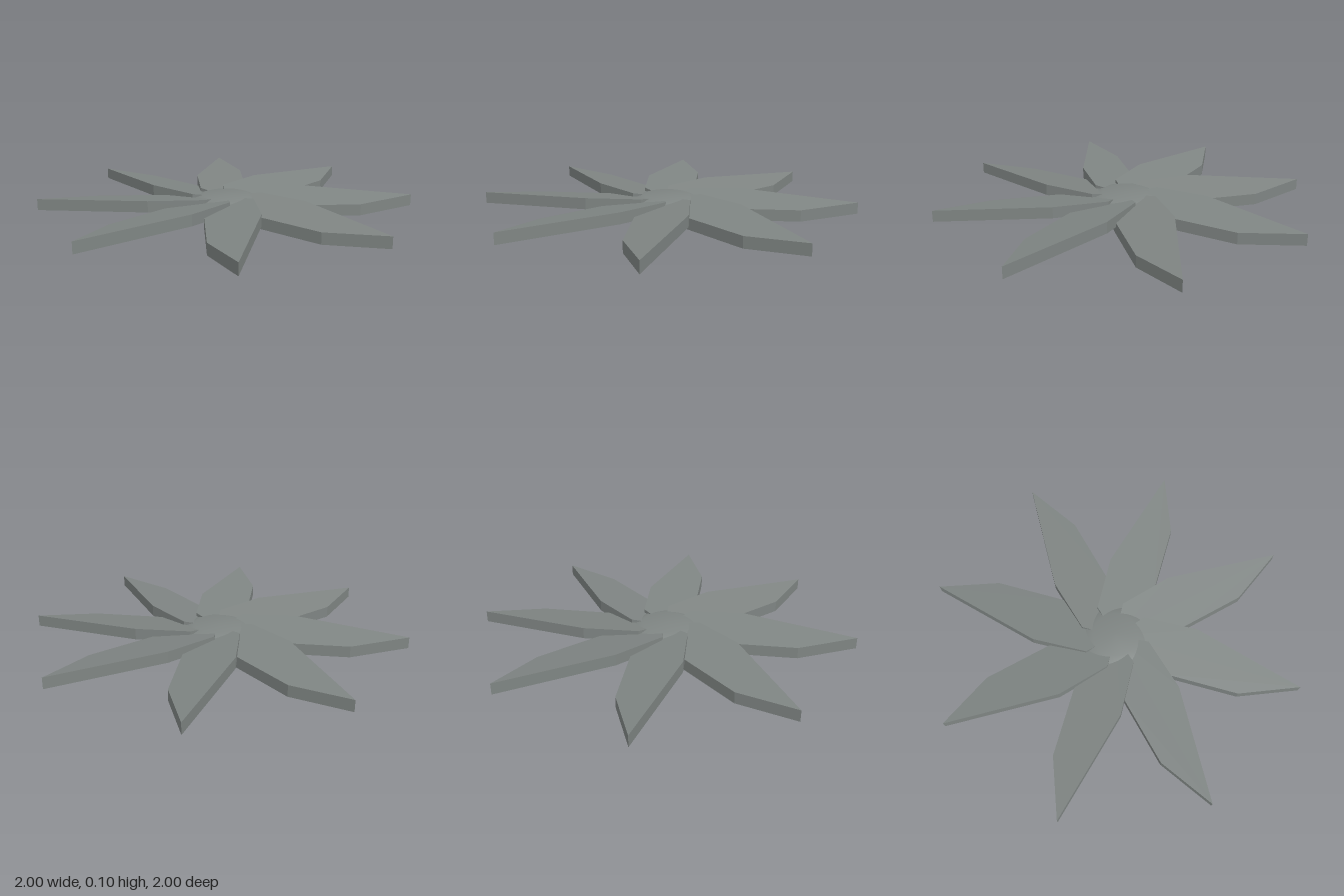
import * as THREE from 'three';

const THICKNESS = 0.06;
const BLADES = 8;

// One flat blade pointing along +x, rolled so one long edge is raised
function bladeGeometry() {
  const outline = [[0, 0], [0.05, -0.12], [0.32, -0.125], [0.7, -0.12], [1, 0], [0.41, 0.15], [0.12, 0.135]];
  const shape = new THREE.Shape(outline.map(([x, y]) => new THREE.Vector2(x, y)));
  const geometry = new THREE.ExtrudeGeometry(shape, { depth: THICKNESS, bevelEnabled: false });
  const p = geometry.attributes.position;
  for (let i = 0; i < p.count; i++) p.setZ(i, p.getZ(i) + 0.0185 + 0.148 * p.getY(i));
  geometry.rotateX(-Math.PI / 2);
  geometry.computeVertexNormals();
  return geometry;
}

export function createModel() {
  const group = new THREE.Group();
  group.name = 'bladedStar';
  const steel = new THREE.MeshStandardMaterial({ color: 0x7f8583 });
  steel.name = 'grey steel';

  // Ring of overlapping blades
  const geometry = bladeGeometry();
  for (let i = 0; i < BLADES; i++) {
    const blade = new THREE.Mesh(geometry, steel);
    blade.name = `blade${i + 1}`;
    blade.rotation.y = (i / BLADES) * Math.PI * 2;
    group.add(blade);
  }

  // Shallow hub joining the blade roots
  const profile = [[0, 0.002], [0.12, 0.003], [0.22, 0.035], [0.22, 0.062], [0.12, 0.094], [0, 0.095]];
  const hub = new THREE.Mesh(
    new THREE.LatheGeometry(profile.map(([r, y]) => new THREE.Vector2(r, y)), 32),
    steel
  );
  hub.name = 'hub';
  group.add(hub);

  return group;
}
